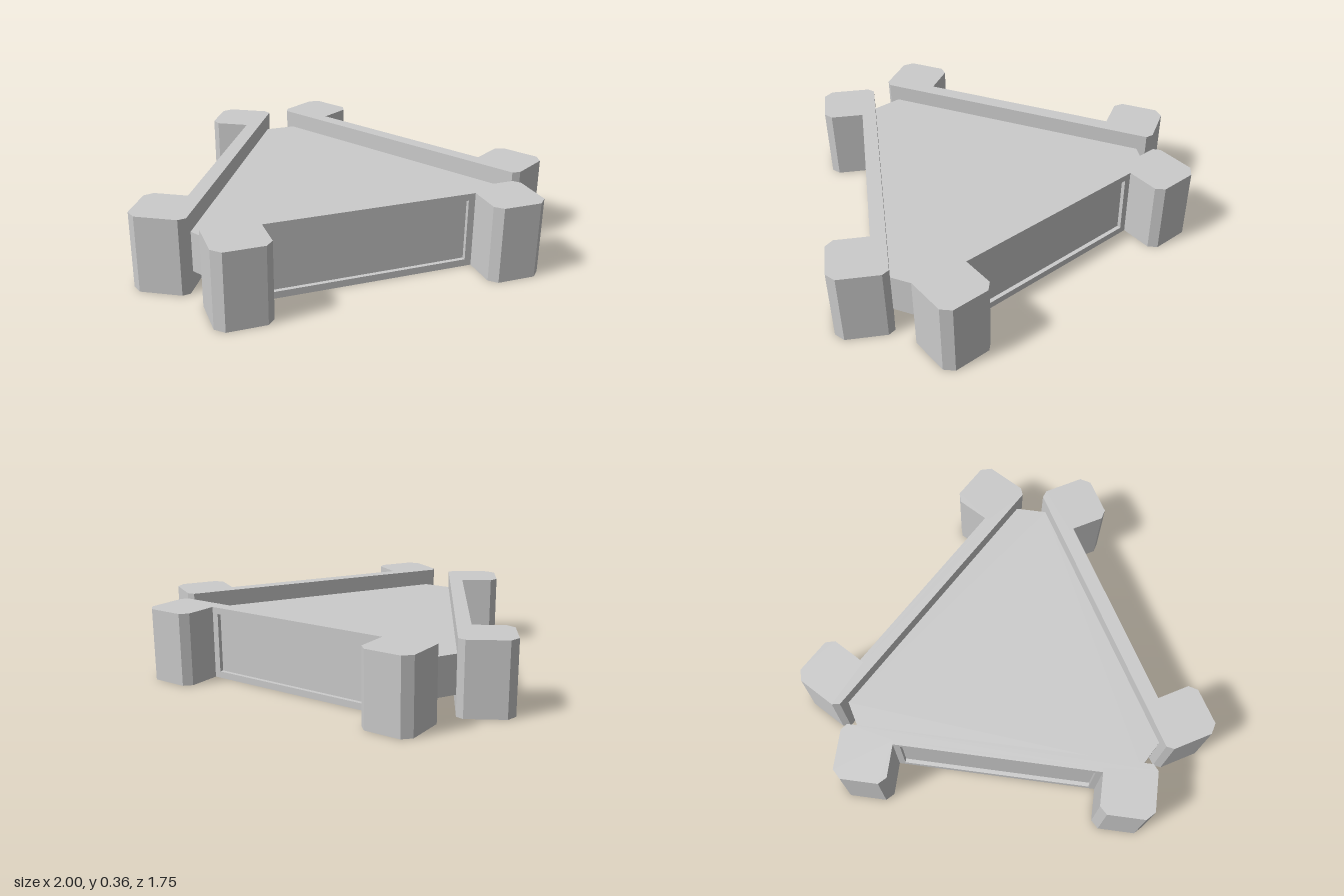
import * as THREE from 'three';

const material = new THREE.MeshStandardMaterial({ color: 0xcccccc, flatShading: true });
const HEIGHT = 0.36;      // bracket height
const INNER = 0.48;       // centre to the inner face of a bracket
const FACE = 0.55;        // centre to the outer face of a crossbar
const RECESS = 0.02;      // depth of the panel in the crossbar
const CENTRE_Z = 0.125;   // centre of the triangle

const toShape = (points) => new THREE.Shape(points.map(([x, y]) => new THREE.Vector2(x, y)));

// Extrude an outline given as [x, z] upwards from y0 to y1
function prism(points, y0, y1) {
  const g = new THREE.ExtrudeGeometry(toShape(points), { depth: y1 - y0, bevelEnabled: false });
  return g.rotateX(Math.PI / 2).translate(0, y1, 0);
}

function part(name, geometry) {
  const mesh = new THREE.Mesh(geometry, material);
  mesh.name = name;
  return mesh;
}

const rectangle = (hw, y0, y1) => [[-hw, y0], [hw, y0], [hw, y1], [-hw, y1]];

// U-shaped bracket: crossbar with two chamfered legs and a sunken panel
function createBracket() {
  const bracket = new THREE.Group();
  const half = [
    [0.495, FACE - RECESS], [0.495, 0.71], [0.53, 0.745], [0.71, 0.745],
    [0.75, 0.705], [0.75, 0.51], [0.725, INNER],
  ];
  const mirrored = half.map(([x, z]) => [-x, z]).reverse();
  bracket.add(part('bracketBody', prism([...half, ...mirrored], 0, HEIGHT)));

  // Raised frame around the panel
  const frame = toShape(rectangle(0.495, 0, HEIGHT));
  frame.holes.push(new THREE.Path(toShape(rectangle(0.463, 0.033, 0.328)).getPoints().reverse()));
  const frameGeometry = new THREE.ExtrudeGeometry(frame, { depth: RECESS, bevelEnabled: false });
  bracket.add(part('panelFrame', frameGeometry.translate(0, 0, FACE - RECESS)));
  return bracket;
}

export function createModel() {
  const model = new THREE.Group();
  model.name = 'triangularHub';
  const hub = new THREE.Group();
  hub.name = 'hub';
  hub.position.z = CENTRE_Z;
  model.add(hub);

  // Core plate: triangle with cut corners
  const outline = [];
  for (let i = 0; i < 3; i++) {
    const a = (i * Math.PI * 2) / 3;
    for (const t of [-0.681, 0.681]) {
      outline.push([t * Math.cos(a) + INNER * Math.sin(a), -t * Math.sin(a) + INNER * Math.cos(a)]);
    }
  }
  hub.add(part('corePlate', prism(outline, 0.087, 0.277)));

  // One bracket on each side
  ['frontBracket', 'leftBracket', 'rightBracket'].forEach((name, i) => {
    const bracket = createBracket();
    bracket.name = name;
    bracket.rotation.y = (i * Math.PI * 2) / 3;
    hub.add(bracket);
  });
  return model;
}
